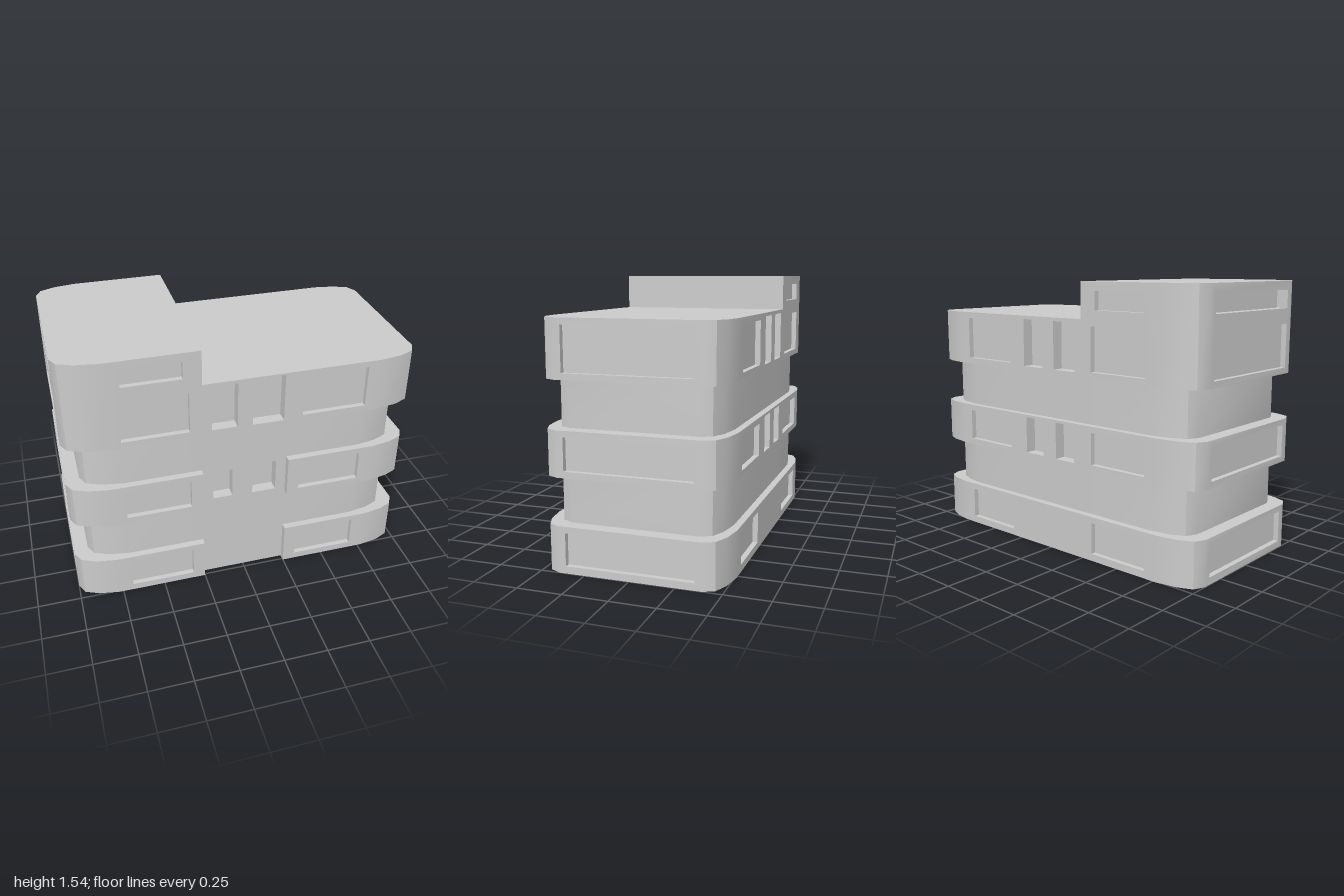
import * as THREE from 'three';
import { mergeGeometries, toCreasedNormals } from 'three/addons/utils/BufferGeometryUtils.js';

const material = new THREE.MeshStandardMaterial({ color: 0xcccccc, side: THREE.DoubleSide });
const UP = new THREE.Vector3(0, 1, 0);
const STEP = 0.25; // half width of the centre bay, also where the penthouse begins

// Floor outline seen from above as [x, z], starting at the front centre bay:
// front wing, left end, back, right end, front wing
function outline(hx, hz) {
  const corner = [[0.23, 0], [0.11, 0.02], [0.03, 0.055], [0, 0.115]]
    .map(([dx, dz]) => [hx - dx, hz - dz]);
  const flip = (list, sx, sz) => list.map(([x, z]) => [x * sx, z * sz]);
  const back = [...corner].reverse();
  return [
    [STEP, hz], ...corner, ...flip(back, 1, -1), [STEP, -hz],
    [-STEP, -hz], ...flip(corner, -1, -1), ...flip(back, -1, 1), [-STEP, hz],
  ];
}

const outer = outline(1, 0.51);
const inner = outline(0.92, 0.47);
const N = outer.length;
const CENTRE = N - 1; // segment closing the outline across the front

function quad(...p) {
  const g = new THREE.BufferGeometry();
  const order = [0, 1, 2, 0, 2, 3].flatMap((i) => p[i]);
  g.setAttribute('position', new THREE.Float32BufferAttribute(order, 3));
  return g;
}

function flat(points) {
  const g = new THREE.ShapeGeometry(points).toNonIndexed();
  g.deleteAttribute('uv');
  g.deleteAttribute('normal');
  return g;
}

// Vertical wall from a to b; each window is [s0, s1, y0, y1, depth] along the wall
function wall(a, b, y0, y1, windows = [], recesses = []) {
  const u = new THREE.Vector3(b[0] - a[0], 0, b[1] - a[1]);
  const len = u.length();
  u.normalize();
  const n = u.clone().cross(UP);
  const place = new THREE.Matrix4().makeBasis(u, UP, n).setPosition(a[0], 0, a[1]);
  const rect = (s0, s1, t0, t1) => [[s0, t0], [s1, t0], [s1, t1], [s0, t1]];
  const vec = (r) => r.map(([s, t]) => new THREE.Vector2(s, t));
  const shape = new THREE.Shape(vec(rect(0, len, y0, y1)));
  for (const [s0, s1, t0, t1, d] of windows) {
    const c = rect(s0, s1, t0, t1);
    shape.holes.push(new THREE.Path(vec(c)));
    // Pane set back behind four reveals
    recesses.push(quad(...c.map((p) => [...p, -d])).applyMatrix4(place));
    c.forEach((p, k) => {
      const q = c[(k + 1) % 4];
      recesses.push(quad([...p, 0], [...q, 0], [...q, -d], [...p, -d]).applyMatrix4(place));
    });
  }
  return flat(shape).applyMatrix4(place);
}

// Horizontal ring between the projecting bands and the set-back walls
function ledge(y, faceUp, notched) {
  const parts = [];
  for (let i = 0; i < (notched ? CENTRE : N); i++) {
    const j = (i + 1) % N;
    const p = [outer[i], outer[j], inner[j], inner[i]].map(([x, z]) => [x, y, z]);
    parts.push(quad(...(faceUp ? p : p.reverse())));
  }
  return parts;
}

function roof(points, y) {
  const shape = new THREE.Shape(points.map(([x, z]) => new THREE.Vector2(x, -z)));
  return flat(shape).rotateX(-Math.PI / 2).translate(0, y, 0);
}

function mesh(name, parts) {
  const m = new THREE.Mesh(toCreasedNormals(mergeGeometries(parts), 0.52), material);
  m.name = name;
  return m;
}

// Large windows shared by every band, keyed by wall segment
function largeWindows(y0, y1) {
  const w = (s0, s1) => [[s0, s1, y0, y1, 0.03]];
  return {
    0: w(0.07, 0.44), 4: w(0.04, 0.75), 8: w(0.08, 0.45),
    10: w(0.07, 0.44), 14: w(0.04, 0.75), 18: w(0.08, 0.45),
  };
}

function band(name, y0, y1, windows, { notched = false, topOf = () => y1, extra = [] } = {}) {
  const walls = [...extra];
  const recesses = [];
  for (let i = 0; i < N; i++) {
    const a = outer[i], b = outer[(i + 1) % N];
    if (i === CENTRE && notched) {
      // Centre bay recessed to the line of the set-back walls
      const c = inner[i], d = inner[0];
      walls.push(wall(a, c, y0, y1), wall(c, d, y0, y1, windows[i], recesses), wall(d, b, y0, y1));
    } else {
      walls.push(wall(a, b, y0, topOf(i), windows[i], recesses));
    }
  }
  const group = new THREE.Group();
  group.name = name;
  group.add(mesh(name + 'Walls', walls), mesh(name + 'Windows', recesses));
  return group;
}

function setback(name, y0, y1) {
  return mesh(name, inner.map((p, i) => wall(p, inner[(i + 1) % N], y0, y1)));
}

export function createModel() {
  const model = new THREE.Group();
  model.name = 'building';
  const deep = 0.065;

  // Ground storey
  model.add(band('groundBand', 0, 0.255, largeWindows(0.04, 0.22),
    { notched: true, extra: ledge(0.255, true, true) }));
  model.add(setback('lowerSetbackWalls', 0.255, 0.515));

  // Middle storey with narrow windows in the centre bays
  const middle = largeWindows(0.55, 0.73);
  middle[9] = [[0.06, 0.2, 0.54, 0.75, deep], [0.3, 0.44, 0.54, 0.75, deep]];
  middle[CENTRE] = [[0.065, 0.18, 0.55, 0.735, deep], [0.3, 0.44, 0.545, 0.745, deep]];
  model.add(band('middleBand', 0.515, 0.765, middle, {
    notched: true,
    extra: [...ledge(0.515, false, true), ...ledge(0.765, true, true)],
  }));
  model.add(setback('upperSetbackWalls', 0.765, 1.025));

  // Top storey, its right-hand part rising into the penthouse
  const top = largeWindows(1.06, 1.305);
  top[9] = [[0.05, 0.2, 1.05, 1.32, deep], [0.29, 0.45, 1.05, 1.32, deep]];
  top[CENTRE] = [[0.05, 0.195, 1.05, 1.32, deep], [0.28, 0.46, 1.045, 1.33, deep]];
  top[10].push([0.1, 0.425, 1.39, 1.49, 0.03]);
  top[14].push([0.04, 0.75, 1.39, 1.49, deep]);
  top[18].push([0.095, 0.42, 1.39, 1.49, 0.03]);
  model.add(band('topBand', 1.025, 1.34, top, {
    topOf: (i) => (i >= 10 && i <= 18 ? 1.54 : 1.34),
    extra: ledge(1.025, false, false),
  }));

  // Roofs and the step between them
  model.add(mesh('mainRoof', [roof([outer[CENTRE], ...outer.slice(0, 11)], 1.34)]));
  model.add(mesh('penthouseRoof', [roof(outer.slice(10), 1.54)]));
  model.add(mesh('penthouseSideWall', [wall(outer[CENTRE], outer[10], 1.34, 1.54)]));
  return model;
}
